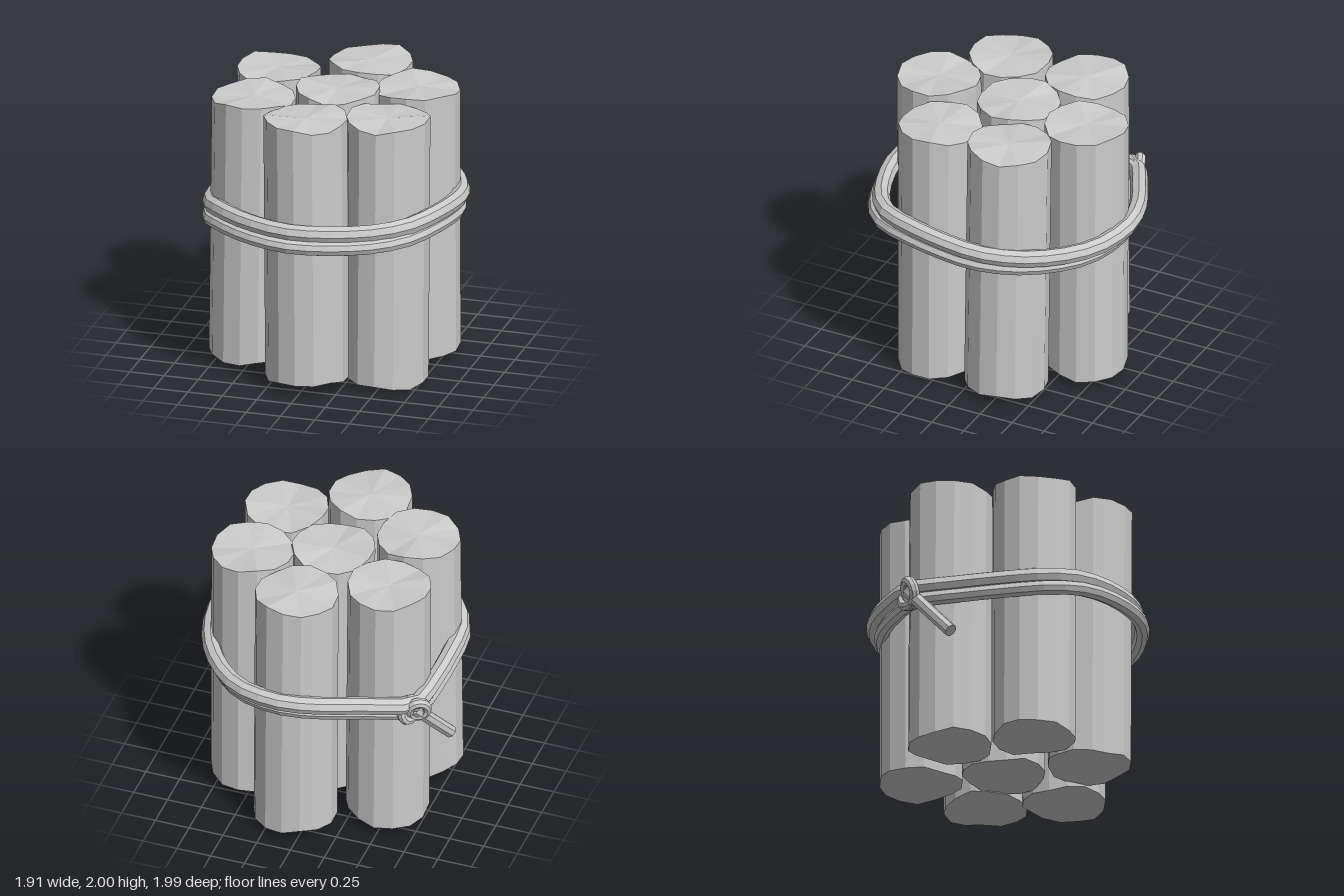
import * as THREE from 'three';

const material = new THREE.MeshStandardMaterial({ color: 0xcccccc, flatShading: true });
const V = (x, y, z) => new THREE.Vector3(x, y, z);

function addMesh(parent, geometry, name) {
  const mesh = new THREE.Mesh(geometry, material);
  mesh.name = name;
  parent.add(mesh);
  return mesh;
}

// A slightly leaning log with uneven sides and wavy cut ends
function logGeometry([x, z, bottom, top, leanX, leanZ], seed) {
  const height = top - bottom;
  const geo = new THREE.CylinderGeometry(0.293, 0.293, height, 14);
  const pos = geo.attributes.position;
  for (let i = 0; i < pos.count; i++) {
    const px = pos.getX(i), py = pos.getY(i), pz = pos.getZ(i);
    const a = Math.atan2(pz, px);
    const r = Math.hypot(px, pz) / 0.293;
    const isTop = py > 0;
    const swell = 1 + 0.012 * Math.sin(3 * a + seed * 2);
    const phase = seed * 1.9 + (isTop ? 0 : 2.2);
    const wave = r * (0.016 * Math.sin(2 * a + phase) + 0.009 * Math.sin(5 * a + phase * 2));
    const lean = isTop ? 0 : 1;
    pos.setXYZ(i, x + px * swell + lean * leanX, bottom + height / 2 + py + wave, z + pz * swell + lean * leanZ);
  }
  geo.computeVertexNormals();
  return geo;
}

// Closed round cap for a cut rope end
function addRopeEnd(parent, point, direction, radius) {
  const cap = addMesh(parent, new THREE.CircleGeometry(radius, 8), 'ropeEnd');
  cap.position.copy(point);
  cap.quaternion.setFromUnitVectors(V(0, 0, 1), direction);
}

export function createModel() {
  const model = new THREE.Group();
  model.name = 'logBundle';

  // Logs: top centre x, z, bottom and top heights, offset of the lower end
  const logs = [
    [0.02, -0.05, 0.06, 1.97, 0.02, 0.02],
    [0.09, -0.62, 0.06, 1.975, 0.01, 0],
    [0.55, -0.25, 0.045, 1.965, 0.01, 0.02],
    [0.50, 0.32, 0.022, 1.94, -0.01, 0.01],
    [-0.02, 0.59, 0.07, 1.98, 0.01, -0.01],
    [-0.49, 0.27, 0.075, 1.975, -0.02, 0],
    [-0.49, -0.32, 0.06, 1.965, 0.01, -0.01],
  ];
  const bundle = new THREE.Group();
  bundle.name = 'logs';
  logs.forEach((log, i) => addMesh(bundle, logGeometry(log, i + 1), 'log' + (i + 1)));
  model.add(bundle);

  // Path of the upper rope strand around the bundle: x, y, z
  const path = [
    [0.10, 1.23, -0.935], [0.45, 1.215, -0.84], [0.74, 1.205, -0.53], [0.87, 1.22, -0.2],
    [0.885, 1.245, 0.05], [0.85, 1.27, 0.34], [0.73, 1.265, 0.62], [0.49, 1.245, 0.785],
    [0, 1.235, 0.9], [-0.35, 1.235, 0.8], [-0.62, 1.225, 0.6], [-0.77, 1.19, 0.38],
    [-0.8, 1.17, 0], [-0.79, 1.16, -0.3], [-0.76, 1.16, -0.55], [-0.42, 1.21, -0.765], [-0.15, 1.23, -0.89],
  ];
  const rope = new THREE.Group();
  rope.name = 'rope';
  const strand = (radius, drop, shiftZ, name) => {
    const curve = new THREE.CatmullRomCurve3(path.map(([x, y, z]) => V(x, y - drop, z + shiftZ)), true);
    addMesh(rope, new THREE.TubeGeometry(curve, 40, radius, 8, true), name);
  };
  strand(0.063, 0, 0, 'upperStrand');
  strand(0.052, 0.088, 0.045, 'lowerStrand');

  // Knot: loops wrapped around both strands
  const loops = [
    [-0.79, 1.13, -0.565, 0.5, -0.35],
    [-0.725, 1.12, -0.58, 1.0, 0.35],
  ];
  loops.forEach(([x, y, z, turn, tilt]) => {
    const loop = addMesh(rope, new THREE.TorusGeometry(0.075, 0.038, 8, 14), 'knotLoop');
    loop.position.set(x, y, z);
    loop.rotation.set(tilt, turn, 0);
    loop.scale.set(0.85, 1, 1);
  });

  // Loose tail hanging from the knot
  const tailEnd = V(-0.915, 0.75, -0.26);
  const tail = new THREE.CatmullRomCurve3([
    V(-0.76, 1.14, -0.58), V(-0.81, 1.04, -0.5), V(-0.86, 0.9, -0.385), tailEnd,
  ]);
  addMesh(rope, new THREE.TubeGeometry(tail, 8, 0.047, 8), 'ropeTail');
  addRopeEnd(rope, tailEnd, tail.getTangent(1), 0.047);
  model.add(rope);

  return model;
}
